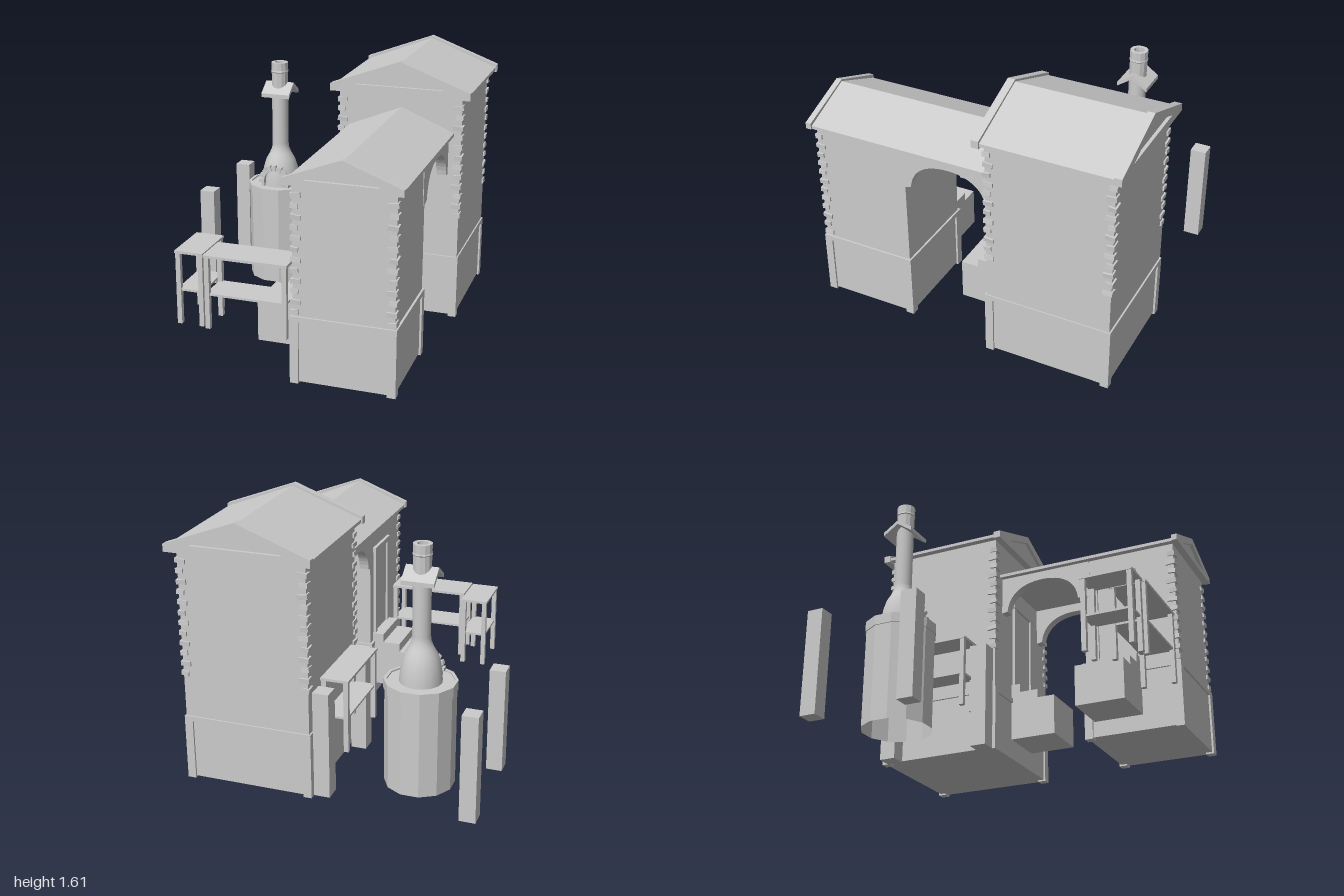
import * as THREE from 'three';

const mat = new THREE.MeshStandardMaterial({ color: 0xcccccc, side: THREE.DoubleSide });
const flat = new THREE.MeshStandardMaterial({ color: 0xcccccc, side: THREE.DoubleSide, flatShading: true });

function add(parent, name, geo, material = mat) {
  const m = new THREE.Mesh(geo, material);
  m.name = name;
  parent.add(m);
  return m;
}

function group(parent, name) {
  const g = new THREE.Group();
  g.name = name;
  parent.add(g);
  return g;
}

// Box given by its two extreme corners
function block(parent, name, x0, x1, y0, y1, z0, z1) {
  const m = add(parent, name, new THREE.BoxGeometry(x1 - x0, y1 - y0, z1 - z0));
  m.position.set((x0 + x1) / 2, (y0 + y1) / 2, (z0 + z1) / 2);
  return m;
}

const poly = pts => new THREE.Shape(pts.map(p => new THREE.Vector2(...p)));
const extrude = (shape, depth) =>
  new THREE.ExtrudeGeometry(shape, { depth, bevelEnabled: false, curveSegments: 12 });

// Plinth with corner posts and top rails framing a sunken panel on each side
function plinth(parent, x0, x1, z0, z1, h) {
  const g = group(parent, 'plinth'), d = 0.012, w = 0.05;
  block(g, 'plinthCore', x0 + d, x1 - d, 0.01, h, z0 + d, z1 - d);
  for (const x of [x0, x1 - w]) for (const z of [z0, z1 - w])
    block(g, 'plinthPost', x, x + w, 0, h, z, z + w);
  block(g, 'plinthRail', x0, x1, h - 0.03, h, z0, z1);
}

// Column of alternating long and short stones wrapping a wall corner
function quoins(parent, x, z, sx, sz, y0, count) {
  const g = group(parent, 'quoins');
  for (let i = 0; i < count; i++) {
    const a = i % 2 ? 0.05 : 0.035, b = i % 2 ? 0.035 : 0.05, out = 0.01;
    const m = add(g, 'quoinStone', new THREE.BoxGeometry(a + out, 0.028, b + out));
    m.position.set(x + sx * (out - a) / 2, y0 + i * 0.0615, z + sz * (out - b) / 2);
    m.rotation.set(0.09 * Math.sin(i * 2.3) * sz, 0, 0.12 * Math.cos(i * 1.7));
  }
}

// Gabled slab with a triangular recess
function pediment(parent, cx, half, y0, edge, apex, tri, z, depth) {
  const s = poly([[cx - half, y0], [cx + half, y0], [cx + half, y0 + edge], [cx, apex], [cx - half, y0 + edge]]);
  s.holes.push(new THREE.Path([[cx - tri[0], tri[1]], [cx, tri[2]], [cx + tri[0], tri[1]]]
    .map(p => new THREE.Vector2(...p))));
  add(parent, 'pediment', extrude(s, depth)).position.z = z;
}

function roof(parent, cx, half, y0, edge, apex, z0, z1) {
  const s = poly([[cx - half, y0], [cx + half, y0], [cx + half, y0 + edge], [cx, apex], [cx - half, y0 + edge]]);
  add(parent, 'roof', extrude(s, z1 - z0)).position.z = z0;
}

// Door leaf in a raised frame, in the xy plane facing +z
function door(parent, w, h) {
  const g = group(parent, 'door');
  block(g, 'doorLeaf', -w / 2, w / 2, 0, h, -0.005, 0.004);
  for (const s of [-1, 1])
    block(g, 'doorJamb', s * w / 2 - 0.015, s * w / 2 + 0.015, 0, h, -0.005, 0.016);
  block(g, 'doorLintel', -w / 2 - 0.025, w / 2 + 0.025, h, h + 0.03, -0.005, 0.02);
  return g;
}

// Table with four legs and a lower shelf
function table(parent, x0, x1, z0, z1) {
  const g = group(parent, 'table'), w = 0.028, e = 0.004;
  block(g, 'tableTop', x0, x1, 0.675, 0.69, z0, z1);
  block(g, 'tableShelf', x0 + 0.01, x1 - 0.01, 0.447, 0.46, z0 + 0.01, z1 - 0.01);
  for (const x of [x0 + e, x1 - w - e]) for (const z of [z0 + e, z1 - w - e])
    block(g, 'tableLeg', x, x + w, 0.245, 0.675, z, z + w);
}

// Furnace: drum, bottle-shaped dome with arched mouth, chimney and rain cap
function furnace(parent) {
  const g = group(parent, 'furnace');
  g.position.set(-0.457, 0, -0.553);
  const ring = pts => new THREE.LatheGeometry(pts.map(p => new THREE.Vector2(...p)), 12, Math.PI / 12);
  add(g, 'drum', ring([[0.208, 0], [0.208, 0.59]]), flat);
  add(g, 'drumRim', ring([[0.208, 0.59], [0.214, 0.59], [0.214, 0.65], [0.196, 0.65], [0.196, 0.64], [0, 0.64]]), flat);
  const bottle = [[0.125, 0.64], [0.122, 0.69], [0.113, 0.75], [0.095, 0.81], [0.072, 0.85], [0.057, 0.885], [0.053, 0.92], [0.053, 1.3]];
  add(g, 'domeAndFlue', new THREE.LatheGeometry(bottle.map(p => new THREE.Vector2(...p)), 16));
  const pot = [[0.052, 1.26], [0.054, 1.395], [0.058, 1.4], [0.055, 1.41], [0.055, 1.46], [0.032, 1.46], [0.032, 1.38], [0, 1.38]];
  add(g, 'chimneyPot', new THREE.LatheGeometry(pot.map(p => new THREE.Vector2(...p)), 12), flat);
  // bent rain plate with its ridge along x
  const cap = poly([[-0.095, 1.24], [0, 1.305], [0.095, 1.24], [0.095, 1.265], [0, 1.33], [-0.095, 1.265]]);
  const c = add(g, 'rainCap', extrude(cap, 0.19));
  c.rotation.y = -Math.PI / 2;
  c.position.x = 0.095;
  // arched mouth
  const arch = new THREE.Shape();
  arch.moveTo(0.095, 0.64);
  arch.lineTo(0.095, 0.68);
  arch.absarc(0, 0.68, 0.095, 0, Math.PI, false);
  arch.lineTo(-0.095, 0.64);
  arch.lineTo(-0.072, 0.64);
  arch.lineTo(-0.072, 0.68);
  arch.absarc(0, 0.68, 0.072, Math.PI, 0, true);
  arch.lineTo(0.072, 0.64);
  add(g, 'mouthArch', extrude(arch, 0.1)).position.z = 0.02;
  for (let i = 0; i < 9; i++) {
    const a = Math.PI * i / 8;
    const m = add(g, 'mouthStone', new THREE.BoxGeometry(0.038, 0.023, 0.035));
    m.position.set(0.09 * Math.cos(a), 0.68 + 0.09 * Math.sin(a), 0.112);
    m.rotation.z = a;
  }
}

export function createModel() {
  const root = new THREE.Group();
  root.name = 'gatehouseWithFurnace';

  // Tall tower
  const tower = group(root, 'tower');
  plinth(tower, 0.06, 0.84, -0.96, -0.18, 0.4);
  block(tower, 'towerWall', 0.07, 0.832, 0.4, 1.42, -0.95, -0.19);
  for (const [x, sx] of [[0.07, -1], [0.832, 1]]) for (const [z, sz] of [[-0.95, -1], [-0.19, 1]])
    quoins(tower, x, z, sx, sz, 0.67, 12);
  roof(tower, 0.455, 0.425, 1.415, 0.02, 1.6, -0.98, -0.16);
  for (const z of [-1, -0.185])
    pediment(tower, 0.455, 0.432, 1.405, 0.045, 1.612, [0.275, 1.455, 1.565], z, 0.045);

  // Front wing
  const wing = group(root, 'wing');
  plinth(wing, 0.155, 0.765, 0.36, 0.97, 0.405);
  block(wing, 'wingWall', 0.17, 0.752, 0.4, 1.172, 0.372, 0.957);
  for (const [x, sx] of [[0.17, -1], [0.752, 1]]) quoins(wing, x, 0.957, sx, 1, 0.43, 12);
  roof(wing, 0.46, 0.327, 1.17, 0.02, 1.325, -0.19, 0.98);
  pediment(wing, 0.46, 0.336, 1.17, 0.038, 1.336, [0.212, 1.205, 1.295], 0.965, 0.035);

  // Arched screens bridging wing and tower
  const arch = new THREE.Shape();
  arch.moveTo(0.41, 1.172);
  arch.lineTo(-0.19, 1.172);
  arch.lineTo(-0.19, 0.93);
  arch.lineTo(-0.152, 0.935);
  arch.bezierCurveTo(-0.14, 1.06, -0.04, 1.115, 0.09, 1.115);
  arch.bezierCurveTo(0.22, 1.115, 0.32, 1.06, 0.332, 0.935);
  arch.lineTo(0.372, 0.925);
  arch.lineTo(0.41, 0.925);
  for (const x of [0.756, 0.226]) {
    const m = add(wing, 'archScreen', extrude(arch, 0.06));
    m.rotation.y = -Math.PI / 2;
    m.position.x = x;
  }

  // Doors
  const d1 = door(wing, 0.24, 0.56);
  d1.position.set(0.17, 0.46, 0.57);
  d1.rotation.y = -Math.PI / 2;
  door(tower, 0.24, 0.54).position.set(0.455, 0.49, -0.19);

  // Steps up to the wing door and, under the arch, to the tower door
  const steps = group(root, 'steps');
  [[-0.13, 0.35], [-0.015, 0.405], [0.095, 0.46]].forEach(([x, y], i, all) =>
    block(steps, 'wingStep', x, i < 2 ? all[i + 1][0] : 0.17, 0.105, y, 0.42, 0.72));
  [[0.1, 0.38], [-0.01, 0.435], [-0.13, 0.49]].forEach(([z, y], i, all) =>
    block(steps, 'towerStep', 0.305, 0.605, 0.13, y, i < 2 ? all[i + 1][0] : -0.19, z));

  // Free-standing posts around the furnace
  for (const x of [-0.89, -0.035]) for (const z of [-0.92, -0.3])
    block(root, 'yardPost', x, x + 0.096, 0, 0.645, z, z + 0.1);

  table(root, -0.112, 0.055, -0.808, -0.31);
  table(root, -0.362, 0.135, 0.733, 0.953);
  table(root, -0.542, -0.37, 0.628, 0.937);

  furnace(root);
  return root;
}
